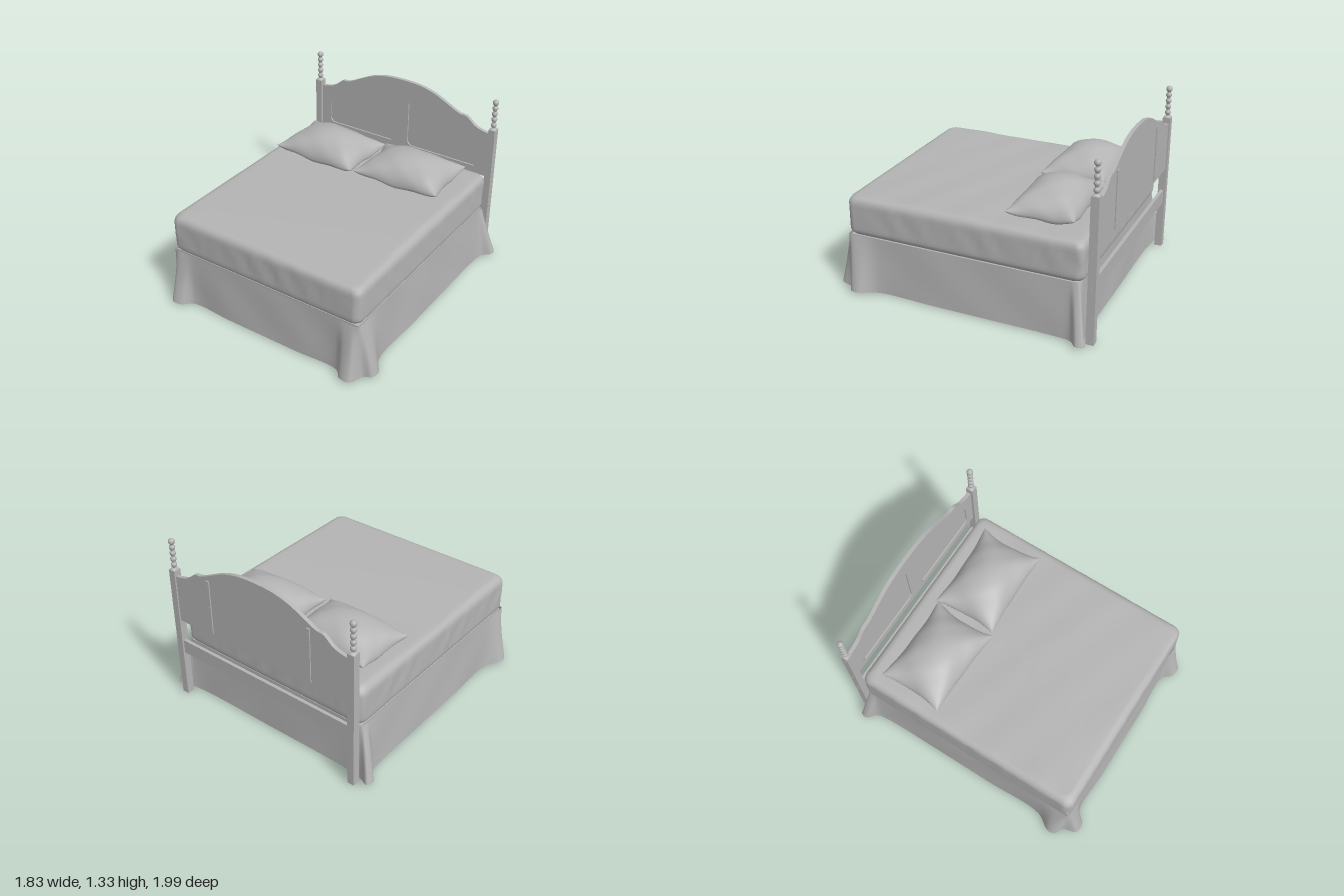
import * as THREE from 'three';

const grey = new THREE.MeshStandardMaterial({ color: 0xb4b4b4, side: THREE.DoubleSide });
grey.name = 'plain grey';

const V = (x, y, z) => new THREE.Vector3(x, y, z);

function add(parent, name, geometry, x = 0, y = 0, z = 0) {
  const mesh = new THREE.Mesh(geometry, grey);
  mesh.name = name;
  mesh.position.set(x, y, z);
  parent.add(mesh);
  return mesh;
}

// Smooth skin through closed rings of points, listed from bottom to top
function loft(rings) {
  const n = rings[0].length, index = [];
  for (let i = 0; i < rings.length - 1; i++) {
    for (let j = 0; j < n; j++) {
      const k = (j + 1) % n;
      const a = i * n + j, b = i * n + k, c = a + n, d = b + n;
      index.push(a, c, b, b, c, d);
    }
  }
  const g = new THREE.BufferGeometry().setFromPoints(rings.flat());
  g.setIndex(index);
  g.computeVertexNormals();
  return g;
}

// Rounded rectangle in the ground plane, with its edges subdivided for folds
function rectRing(hx, hz, r, y) {
  const corners = [[1, 1], [-1, 1], [-1, -1], [1, -1]], pts = [];
  corners.forEach(([sx, sz], q) => {
    for (let i = 0; i <= 6; i++) {
      const a = (q + i / 6) * Math.PI / 2;
      pts.push(V(sx * (hx - r) + r * Math.cos(a), y, sz * (hz - r) + r * Math.sin(a)));
    }
    const last = pts[pts.length - 1].clone();
    const [nx, nz] = corners[(q + 1) % 4];
    const a = (q + 1) * Math.PI / 2;
    const next = V(nx * (hx - r) + r * Math.cos(a), y, nz * (hz - r) + r * Math.sin(a));
    for (let i = 1; i < 32; i++) pts.push(last.clone().lerp(next, i / 32));
  });
  return pts;
}

// Mattress: rounded edges, soft folds down the sides and a gently uneven top
function mattressGeometry() {
  const rings = [];
  const section = (scale, inset, y) =>
    rings.push(rectRing((0.805 - inset) * scale, (0.9 - inset) * scale, 0.06 * scale, y));
  section(0.001, 0.04, 0.435);
  section(1, 0.04, 0.435);
  section(1, 0.018, 0.442);
  section(1, 0.005, 0.46);
  for (let i = 0; i <= 8; i++) section(1, 0, 0.48 + i * 0.025);
  section(1, 0.005, 0.702);
  section(1, 0.018, 0.722);
  section(1, 0.04, 0.732);
  for (const s of [0.97, 0.9, 0.8, 0.7, 0.6, 0.5, 0.4, 0.3, 0.2, 0.1, 0.001]) section(s, 0.04, 0.734);
  for (const ring of rings) for (const p of ring) {
    const side = Math.max(0, 1 - Math.abs(p.y - 0.585) / 0.14);
    const fold = side * (0.006 * Math.sin(31 * (p.x - p.z) + 14 * p.y) * Math.sin(5 * p.z + 3 * p.x)
      + 0.003 * Math.sin(53 * (p.x + p.z) - 9 * p.y));
    if (Math.abs(p.x) > 0.78) p.x += Math.sign(p.x) * fold;
    else if (Math.abs(p.z) > 0.87) p.z += Math.sign(p.z) * fold;
    if (p.y > 0.73) p.y += 0.005 * Math.sin(4 * p.z + 1.5 * p.x) + 0.002 * Math.sin(17 * p.z - 6 * p.x);
  }
  return loft(rings);
}

// Skirt: half outlines from back centre round the +x side to front centre
const skirtTop = [[0, -0.89], [0.62, -0.89], [0.74, -0.89], [0.78, -0.885], [0.8, -0.87], [0.805, -0.84],
  [0.805, -0.8], [0.805, -0.7], [0.805, -0.3], [0.805, 0.2], [0.805, 0.66], [0.805, 0.8], [0.805, 0.86],
  [0.8, 0.89], [0.76, 0.9], [0.7, 0.9], [0.62, 0.9], [0.3, 0.9], [0, 0.9]];
const skirtHem = [[0, -0.9], [0.62, -0.9], [0.74, -0.91], [0.82, -0.925], [0.9, -0.955], [0.915, -0.9],
  [0.85, -0.84], [0.83, -0.72], [0.825, -0.3], [0.825, 0.2], [0.825, 0.66], [0.9, 0.79], [0.89, 0.85],
  [0.83, 0.88], [0.79, 0.985], [0.71, 0.985], [0.64, 0.918], [0.3, 0.92], [0, 0.92]];

function skirtGeometry() {
  const loop = (half) => {
    const mirrored = half.slice(1, -1).reverse().map(([x, z]) => [-x, z]);
    const pts = [...half, ...mirrored].map(([x, z]) => V(x, 0, z));
    const curve = new THREE.CatmullRomCurve3(pts, true, 'centripetal');
    return Array.from({ length: 288 }, (_, i) => curve.getPoint(i / 288));
  };
  const top = loop(skirtTop), hem = loop(skirtHem), rings = [];
  for (let i = 0; i <= 10; i++) {
    const up = i / 10;
    rings.push(hem.map((h, j) => {
      const p = h.clone().lerp(top[j], up);
      const corner = h.distanceTo(top[j]);
      p.y = THREE.MathUtils.lerp(0.012 + corner * 0.12, 0.44, up);
      const ripple = 0.004 * Math.sin(Math.PI * up) * Math.sin(9 * (p.x - p.z) + 5 * p.y);
      if (Math.abs(p.x) > 0.79) p.x += Math.sign(p.x) * ripple;
      else p.z += Math.sign(p.z) * ripple;
      return p;
    }));
  }
  return loft(rings);
}

// Pillow: two puffed sheets meeting at a seam with pinched corners
function addPillow(parent, name, x, z, turn) {
  const pillow = new THREE.Group();
  pillow.name = name;
  pillow.position.set(x, 0.79, z);
  pillow.rotation.y = turn;
  for (const up of [1, -1]) {
    const g = new THREE.PlaneGeometry(2, 2, 40, 32).rotateX(-up * Math.PI / 2);
    const pos = g.attributes.position;
    for (let i = 0; i < pos.count; i++) {
      // Rows crowd towards the seam so the puffed edge stays round
      const u = Math.sin(pos.getX(i) * Math.PI / 2), v = Math.sin(pos.getZ(i) * Math.PI / 2);
      const a = Math.max(0, 1 - u * u), b = Math.max(0, 1 - v * v);
      const seam = -0.015 + 0.03 * u * u * v * v + 0.006 * Math.sin(7 * u + 5 * v) * (1 - a * b);
      const puff = up > 0 ? 0.172 * Math.pow(a * b, 0.55) : -0.05 * Math.pow(a * b, 0.3);
      const crease = 0.006 * Math.sin(9 * u - 7 * v) * Math.sqrt(a * b) * (1 - a * b);
      pos.setXYZ(i, 0.35 * u * (1 - 0.09 * b), seam + puff + crease, 0.245 * v * (1 - 0.06 * a));
    }
    g.computeVertexNormals();
    add(pillow, up > 0 ? 'pillowTop' : 'pillowUnderside', g);
  }
  parent.add(pillow);
}

// Headboard outline with an arched, shouldered top; the frame has two openings
function headboardShape(withOpenings) {
  const half = [[0.77, 1.04], [0.7, 1.052], [0.64, 1.075], [0.57, 1.13], [0.5, 1.142],
    [0.38, 1.2], [0.28, 1.245], [0.15, 1.277]];
  const top = [...half, [0, 1.285], ...half.slice().reverse().map(([x, y]) => [-x, y])];
  const s = new THREE.Shape();
  s.moveTo(-0.77, 0.67);
  s.lineTo(0.77, 0.67);
  s.lineTo(0.77, 1.04);
  s.splineThru(top.slice(1).map(([x, y]) => new THREE.Vector2(x, y)));
  if (withOpenings) for (const m of [1, -1]) {
    const edge = [[0.06, 0.76], [0.06, 1.1], [0.075, 1.145], [0.12, 1.172], [0.2, 1.168], [0.3, 1.15],
      [0.38, 1.12], [0.47, 1.055], [0.56, 1.03], [0.62, 0.995], [0.665, 0.96], [0.685, 0.9], [0.685, 0.76],
      [0.66, 0.73], [0.09, 0.73]];
    s.holes.push(new THREE.Path(edge.map(([x, y]) => new THREE.Vector2(m * x, y))));
  }
  return s;
}

export function createModel() {
  const bed = new THREE.Group();
  bed.name = 'bed';

  add(bed, 'boxSpring', new THREE.BoxGeometry(1.58, 0.36, 1.76), 0, 0.255, 0);
  add(bed, 'bedSkirt', skirtGeometry());
  add(bed, 'mattress', mattressGeometry());
  addPillow(bed, 'rightPillow', -0.37, -0.505, -0.03);
  addPillow(bed, 'leftPillow', 0.335, -0.525, 0.03);

  const headboard = new THREE.Group();
  headboard.name = 'headboard';
  bed.add(headboard);
  const slab = (holes, depth) => new THREE.ExtrudeGeometry(headboardShape(holes),
    { depth, bevelEnabled: false, curveSegments: 4 });
  add(headboard, 'backPanel', slab(false, 0.016), 0, 0, -0.984);
  add(headboard, 'raisedFrame', slab(true, 0.012), 0, 0, -0.968);
  add(headboard, 'lowerRail', new THREE.BoxGeometry(1.54, 0.11, 0.025), 0, 0.435, -0.968);

  for (const m of [1, -1]) {
    // Square post with a turned finial of stacked beads
    add(headboard, 'post', new THREE.BoxGeometry(0.054, 1.08, 0.058), m * 0.792, 0.545, -0.966);
    add(headboard, 'postCap', new THREE.CylinderGeometry(0.02, 0.036, 0.015, 4).rotateY(Math.PI / 4),
      m * 0.792, 1.092, -0.966);
    add(headboard, 'finialCore', new THREE.CylinderGeometry(0.013, 0.013, 0.21, 16), m * 0.792, 1.2, -0.966);
    for (let i = 0; i < 5; i++) {
      add(headboard, 'finialBead', new THREE.SphereGeometry(i === 4 ? 0.024 : 0.022, 20, 14),
        m * 0.792, 1.122 + i * 0.046, -0.966);
    }
    // Bolt heads on the outer face of the post
    for (const y of [0.42, 0.46, 0.69, 1.02]) {
      add(headboard, 'boltHead', new THREE.CylinderGeometry(0.008, 0.008, 0.004, 12).rotateZ(Math.PI / 2),
        m * 0.82, y, -0.966);
    }
    // Screwed batten on the back of the panel
    add(headboard, 'backBatten', new THREE.BoxGeometry(0.028, 0.43, 0.01), m * 0.445, 0.915, -0.988);
    for (const y of [0.74, 0.915, 1.09]) {
      add(headboard, 'battenScrew', new THREE.CylinderGeometry(0.006, 0.006, 0.003, 12).rotateX(Math.PI / 2),
        m * 0.445, y, -0.994);
    }
  }
  return bed;
}
